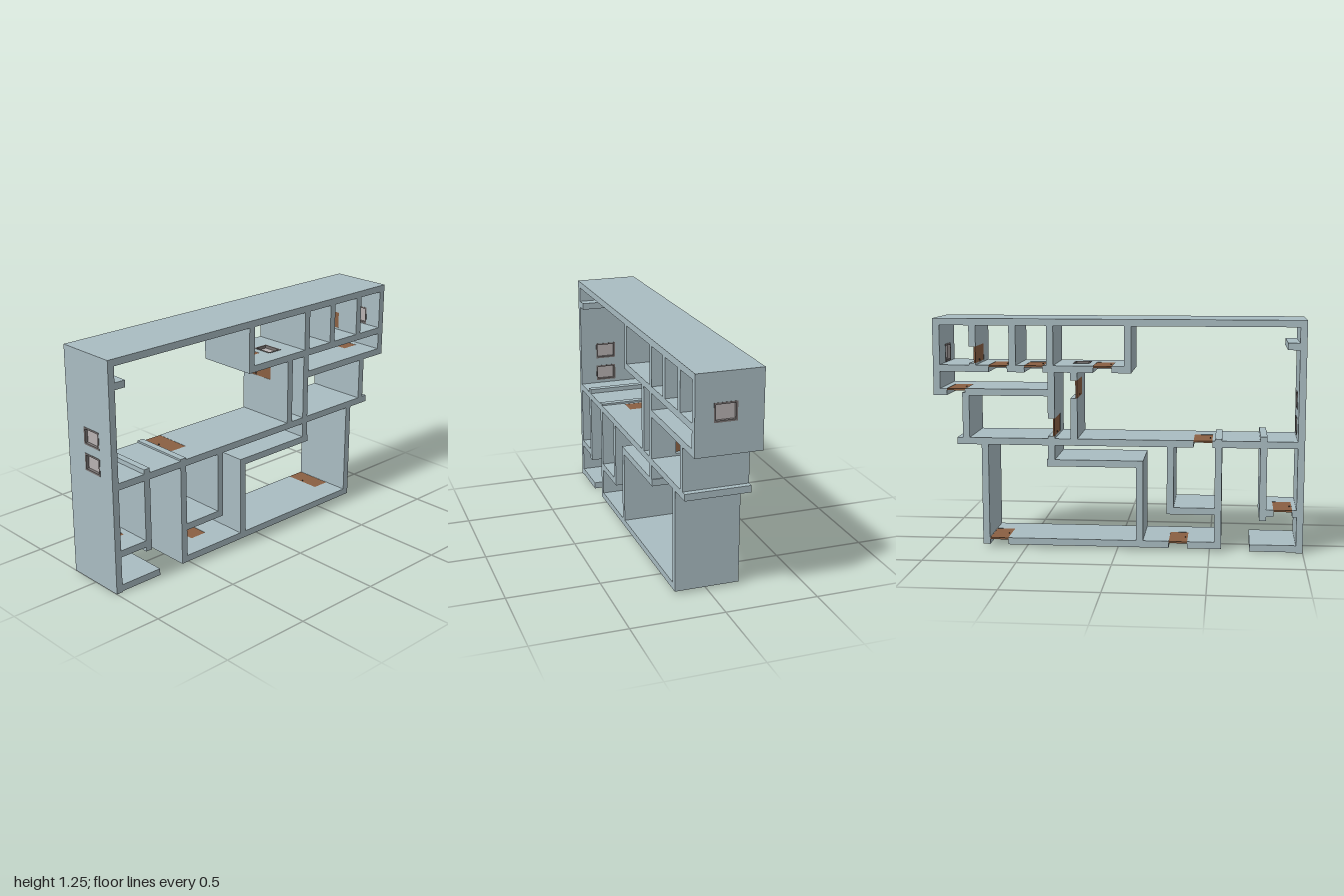
import * as THREE from 'three';

const H = 0.175;          // half depth of every wall
const T = 0.037;          // wall thickness
const DOOR_TOP = 0.04;    // head of the door openings
const WIN = [-0.04, 0.08]; // sill and head of the windows

const mat = (color) => new THREE.MeshStandardMaterial({ color });
const wallMat = mat(0xa9bcc2);
const doorMat = mat(0x8a5f42);
const frameMat = mat(0x7a7473);
const paneMat = mat(0xb8b2b2);
const metalMat = mat(0x4a4440);

// Wall frames: local x runs along the wall, local y is world z, local z is its thickness
const V = (x, y, z) => new THREE.Vector3(x, y, z);
const ACROSS = new THREE.Matrix4().makeBasis(V(1, 0, 0), V(0, 0, 1), V(0, -1, 0));
const UPRIGHT = new THREE.Matrix4().makeBasis(V(0, 1, 0), V(0, 0, 1), V(1, 0, 0));

function rect(target, x0, x1, y0, y1) {
  target.moveTo(x0, y0);
  target.lineTo(x1, y0);
  target.lineTo(x1, y1);
  target.lineTo(x0, y1);
  target.closePath();
  return target;
}

function slab(shape, depth, z, material, name) {
  const geometry = new THREE.ExtrudeGeometry(shape, { depth, bevelEnabled: false });
  geometry.translate(0, 0, z);
  const mesh = new THREE.Mesh(geometry, material);
  mesh.name = name;
  return mesh;
}

// Thin door leaf set against one face of the wall, with a small knob
function makeDoor([a, b]) {
  const door = new THREE.Group();
  door.name = 'door';
  door.add(slab(rect(new THREE.Shape(), a, b, -H, DOOR_TOP), 0.009, 0.001, doorMat, 'doorLeaf'));
  const knob = new THREE.Mesh(new THREE.SphereGeometry(0.004, 10, 8), metalMat);
  knob.position.set(a + 0.012, -0.075, -0.001);
  knob.name = 'doorKnob';
  door.add(knob);
  return door;
}

// Rectangular frame with a pane in the middle
function makeWindow([a, b], t) {
  const win = new THREE.Group();
  win.name = 'window';
  const e = 0.009;
  const ring = rect(new THREE.Shape(), a, b, WIN[0], WIN[1]);
  ring.holes.push(rect(new THREE.Path(), a + e, b - e, WIN[0] + e, WIN[1] - e));
  win.add(slab(ring, t + 0.004, -0.002, frameMat, 'windowFrame'));
  const pane = rect(new THREE.Shape(), a + e, b - e, WIN[0] + e, WIN[1] - e);
  win.add(slab(pane, 0.008, t / 2 - 0.004, paneMat, 'windowPane'));
  return win;
}

// Wall from a to b; doors notch its rear edge, windows pierce it
function makeWall(name, basis, a, b, doors = [], windows = []) {
  const shape = new THREE.Shape();
  shape.moveTo(a, -H);
  for (const [d0, d1] of doors) {
    shape.lineTo(d0, -H);
    shape.lineTo(d0, DOOR_TOP);
    shape.lineTo(d1, DOOR_TOP);
    shape.lineTo(d1, -H);
  }
  shape.lineTo(b, -H);
  shape.lineTo(b, H);
  shape.lineTo(a, H);
  shape.closePath();
  for (const [w0, w1] of windows) {
    shape.holes.push(rect(new THREE.Path(), w0, w1, WIN[0], WIN[1]));
  }
  const wall = new THREE.Group();
  wall.name = name;
  wall.add(slab(shape, T, 0, wallMat, name + 'Panel'));
  doors.forEach((d) => wall.add(makeDoor(d)));
  windows.forEach((w) => wall.add(makeWindow(w, T)));
  wall.quaternion.setFromRotationMatrix(basis);
  return wall;
}

// name, top y, x start, x end, doors, windows
const acrossWalls = [
  ['topWall', 1.25, -1, 0.998],
  ['upperLeftStub', 1.13, -0.97, -0.9],
  ['upperRoomsWall', 1.0, -0.075, 0.97,
    [[0.03, 0.13], [0.4, 0.5], [0.595, 0.695]], [[0.165, 0.255]]],
  ['corridorWall', 0.872, 0.345, 0.998, [[0.825, 0.925]]],
  ['middleWall', 0.605, -0.97, 0.873, [[-0.51, -0.41]]],
  ['innerStepWall', 0.49, -0.14, 0.382],
  ['lowerLeftRoomWall', 0.235, -0.97, -0.766, [[-0.94, -0.84]]],
  ['smallRoomWall', 0.238, -0.55, -0.268],
  ['bottomLeftStub', 0.042, -1, -0.715],
  ['bottomWall', 0.051, -0.562, 0.739, [[-0.38, -0.28], [0.6, 0.7]]],
];

// name, left x, y start, y end, doors, windows
const uprightWalls = [
  ['leftSideWall', -1, 0, 1.25, [], [[0.622, 0.715], [0.762, 0.855]]],
  ['rightSideWall', 0.961, 0.836, 1.25, [], [[1.002, 1.1]]],
  ['upperRoomEnd', -0.075, 0.964, 1.23],
  ['upperPartition1', 0.344, 0.98, 1.23],
  ['upperPartition2', 0.547, 0.98, 1.23],
  ['upperPartition3', 0.764, 0.98, 1.23, [[1.01, 1.1]]],
  ['hallWallOuter', 0.215, 0.59, 0.98, [[0.825, 0.922]]],
  ['hallWallInner', 0.338, 0.46, 0.98, [[0.618, 0.715]]],
  ['corridorEnd', 0.804, 0.59, 0.85],
  ['lowerLeftPartition', -0.802, 0.174, 0.63],
  ['smallRoomOuter', -0.562, 0.015, 0.615],
  ['smallRoomInner', -0.305, 0.202, 0.59],
  ['innerStepEnd', -0.14, 0.03, 0.489],
  ['lowerRightWall', 0.702, 0.015, 0.59],
];

export function createModel() {
  const model = new THREE.Group();
  model.name = 'floorPlan';
  for (const [name, top, ...rest] of acrossWalls) {
    const wall = makeWall(name, ACROSS, ...rest);
    wall.position.y = top;
    model.add(wall);
  }
  for (const [name, left, ...rest] of uprightWalls) {
    const wall = makeWall(name, UPRIGHT, ...rest);
    wall.position.x = left;
    model.add(wall);
  }
  return model;
}
